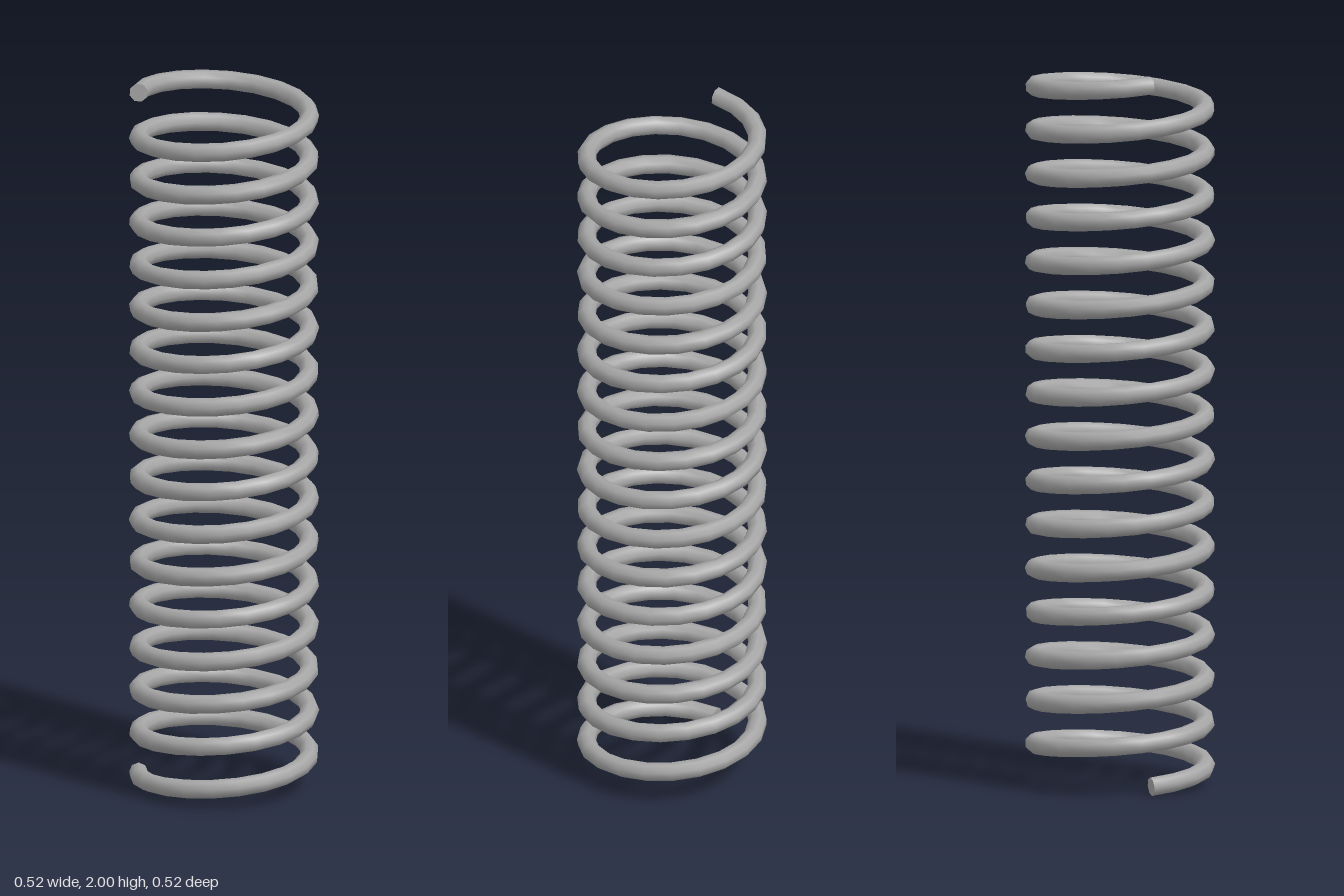
import * as THREE from 'three';

const TURNS = 16;
const COIL_RADIUS = 0.235;
const WIRE_RADIUS = 0.026;
const SIDES = 8;
const STEPS = TURNS * 20 + 7; // facets drift from one turn to the next
const START = THREE.MathUtils.degToRad(212.5);

// Centre line of the wire
class Helix extends THREE.Curve {
  getPoint(t, target = new THREE.Vector3()) {
    const a = START - t * TURNS * Math.PI * 2;
    const y = THREE.MathUtils.lerp(WIRE_RADIUS, 2 - WIRE_RADIUS, t);
    return target.set(COIL_RADIUS * Math.cos(a), y, COIL_RADIUS * Math.sin(a));
  }
}

// Flat disc closing the wire at one ring of the tube
function endCap(tube, ring, centre, flip) {
  const pos = tube.attributes.position;
  const points = [centre];
  for (let i = 0; i < SIDES; i++) {
    points.push(new THREE.Vector3().fromBufferAttribute(pos, ring * (SIDES + 1) + i));
  }
  const index = [];
  for (let i = 0; i < SIDES; i++) {
    const a = 1 + i, b = 1 + (i + 1) % SIDES;
    index.push(0, ...(flip ? [b, a] : [a, b]));
  }
  const geometry = new THREE.BufferGeometry().setFromPoints(points);
  geometry.setIndex(index);
  geometry.computeVertexNormals();
  return geometry;
}

export function createModel() {
  const group = new THREE.Group();
  group.name = 'coilSpring';
  const steel = new THREE.MeshStandardMaterial({ color: 0xa6a6a6, side: THREE.DoubleSide });
  steel.name = 'steelGrey';

  const add = (name, geometry) => {
    const mesh = new THREE.Mesh(geometry, steel);
    mesh.name = name;
    group.add(mesh);
  };

  const helix = new Helix();
  const wire = new THREE.TubeGeometry(helix, STEPS, WIRE_RADIUS, SIDES, false);
  add('coilWire', wire);
  add('bottomEnd', endCap(wire, 0, helix.getPoint(0), false));
  add('topEnd', endCap(wire, STEPS, helix.getPoint(1), true));
  return group;
}
